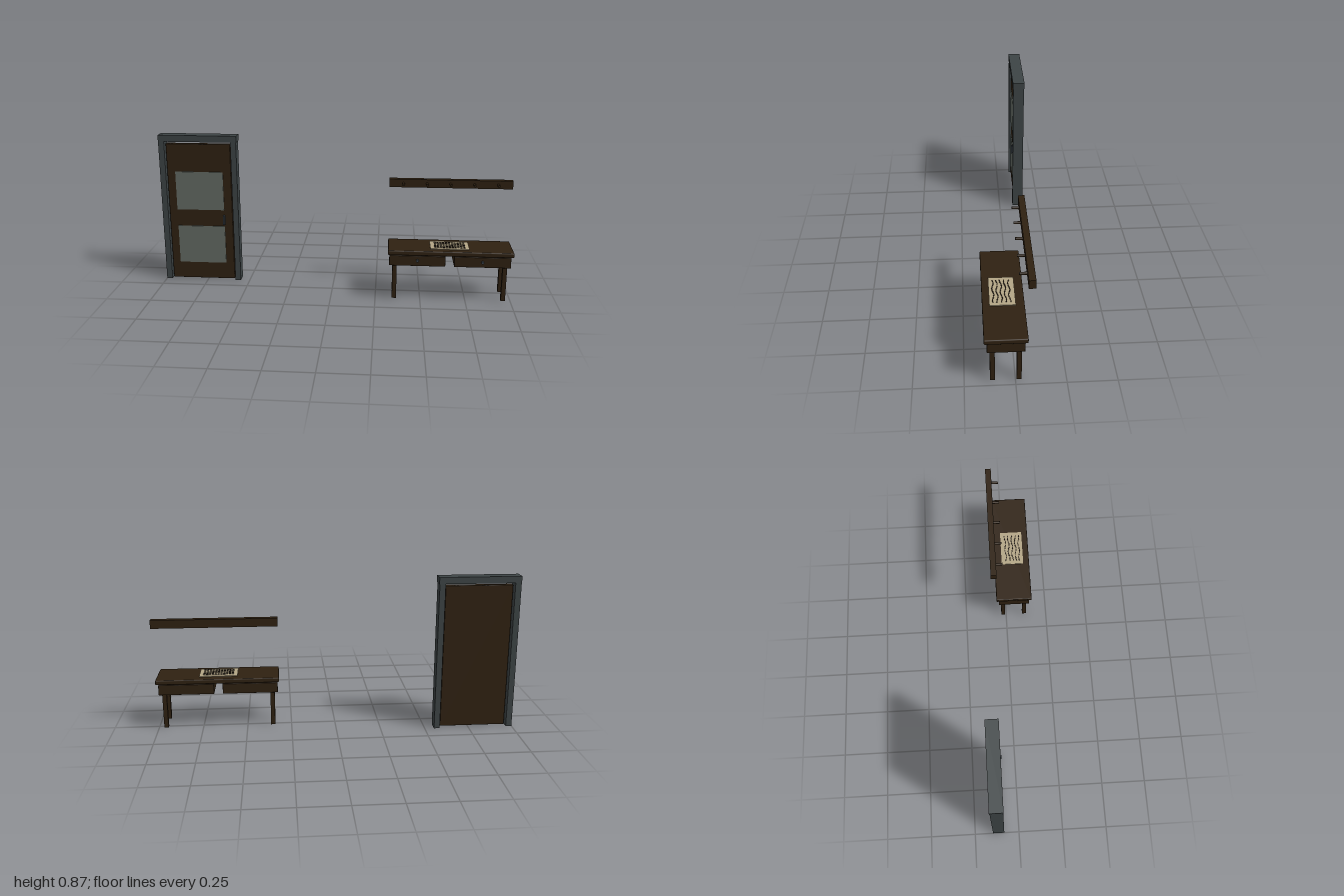
import * as THREE from 'three';
import { RoundedBoxGeometry } from 'three/addons/geometries/RoundedBoxGeometry.js';

export function createModel() {
  const model = new THREE.Group();
  model.name = 'studyFurniture';

  const material = (name, color) => {
    const m = new THREE.MeshStandardMaterial({ color });
    m.name = name;
    return m;
  };
  const wood = material('darkWood', 0x2f2111);
  const stone = material('greyFrame', 0x3d4445);
  const glass = material('paleGlass', 0x636a63);
  const iron = material('iron', 0x394047);
  const parchment = material('parchment', 0xb4a686);
  const ink = material('ink', 0x2a2118);

  const group = (name) => {
    const g = new THREE.Group();
    g.name = name;
    model.add(g);
    return g;
  };
  // Box given by its limits on each axis, with an optional softened edge
  const block = (parent, name, mat, [x0, x1], [y0, y1], [z0, z1], radius = 0) => {
    const size = [x1 - x0, y1 - y0, z1 - z0];
    const geo = radius
      ? new RoundedBoxGeometry(...size, 2, radius)
      : new THREE.BoxGeometry(...size);
    const mesh = new THREE.Mesh(geo, mat);
    mesh.name = name;
    mesh.position.set((x0 + x1) / 2, (y0 + y1) / 2, (z0 + z1) / 2);
    parent.add(mesh);
    return mesh;
  };
  // Round bar running along z
  const bar = (parent, name, mat, x, y, [z0, z1], radius) => {
    const geo = new THREE.CylinderGeometry(radius, radius, z1 - z0, 12);
    geo.rotateX(Math.PI / 2);
    const mesh = new THREE.Mesh(geo, mat);
    mesh.name = name;
    mesh.position.set(x, y, (z0 + z1) / 2);
    parent.add(mesh);
  };

  // Door with its frame, two glass panes and a handle
  const door = group('door');
  const postZ = [-0.148, -0.084];
  block(door, 'leftPost', stone, [-0.585, -0.553], [0, 0.832], postZ);
  block(door, 'rightPost', stone, [-1, -0.967], [0, 0.832], postZ);
  block(door, 'lintel', stone, [-1, -0.55], [0.832, 0.869], [-0.151, -0.082]);
  block(door, 'doorLeaf', wood, [-0.961, -0.591], [0.005, 0.818], [-0.127, -0.097], 0.002);
  for (const y of [0.105, 0.43]) {
    block(door, 'glassPane', glass, [-0.914, -0.638], [y, y + 0.226], [-0.098, -0.092]);
  }
  block(door, 'doorHandle', iron, [-0.644, -0.634], [0.345, 0.4], [-0.097, -0.077]);

  // Desk top and legs
  const desk = group('desk');
  block(desk, 'deskTop', wood, [0.317, 1], [0.268, 0.295], [-0.058, 0.152], 0.006);
  for (const x of [0.355, 0.958]) {
    for (const z of [-0.018, 0.112]) {
      block(desk, 'deskLeg', wood, [x - 0.012, x + 0.012], [0.005, 0.27], [z - 0.012, z + 0.012]);
    }
  }

  // Two drawers with round knobs
  for (const [x0, x1] of [[0.325, 0.632], [0.68, 0.987]]) {
    block(desk, 'drawer', wood, [x0, x1], [0.204, 0.262], [-0.044, 0.138], 0.002);
    bar(desk, 'drawerKnob', iron, (x0 + x1) / 2, 0.236, [0.137, 0.15], 0.008);
  }

  // Sheet of parchment with wavy rows of ink strokes
  const sheet = group('parchmentSheet');
  block(sheet, 'paper', parchment, [0.549, 0.762], [0.296, 0.3], [-0.014, 0.116]);
  for (let row = 0; row < 5; row++) {
    for (let i = 0; i < 11; i++) {
      const x = 0.577 + i * 0.0158;
      const phase = i * 1.1 + row * 0.9;
      const z = 0.013 + row * 0.0205 + 0.004 * Math.sin(phase);
      const stroke = block(sheet, 'inkStroke', ink,
        [x - 0.0058, x + 0.0058], [0.3, 0.303], [z - 0.0025, z + 0.0025]);
      stroke.rotation.y = -0.3 * Math.cos(phase);
    }
  }

  // Wall rail with five pegs
  const rack = group('pegRail');
  block(rack, 'rail', wood, [0.317, 1], [0.6, 0.646], [-0.085, -0.052]);
  for (let i = 0; i < 5; i++) {
    bar(rack, 'peg', wood, 0.395 + i * 0.131, 0.623, [-0.055, -0.015], 0.007);
  }

  return model;
}
